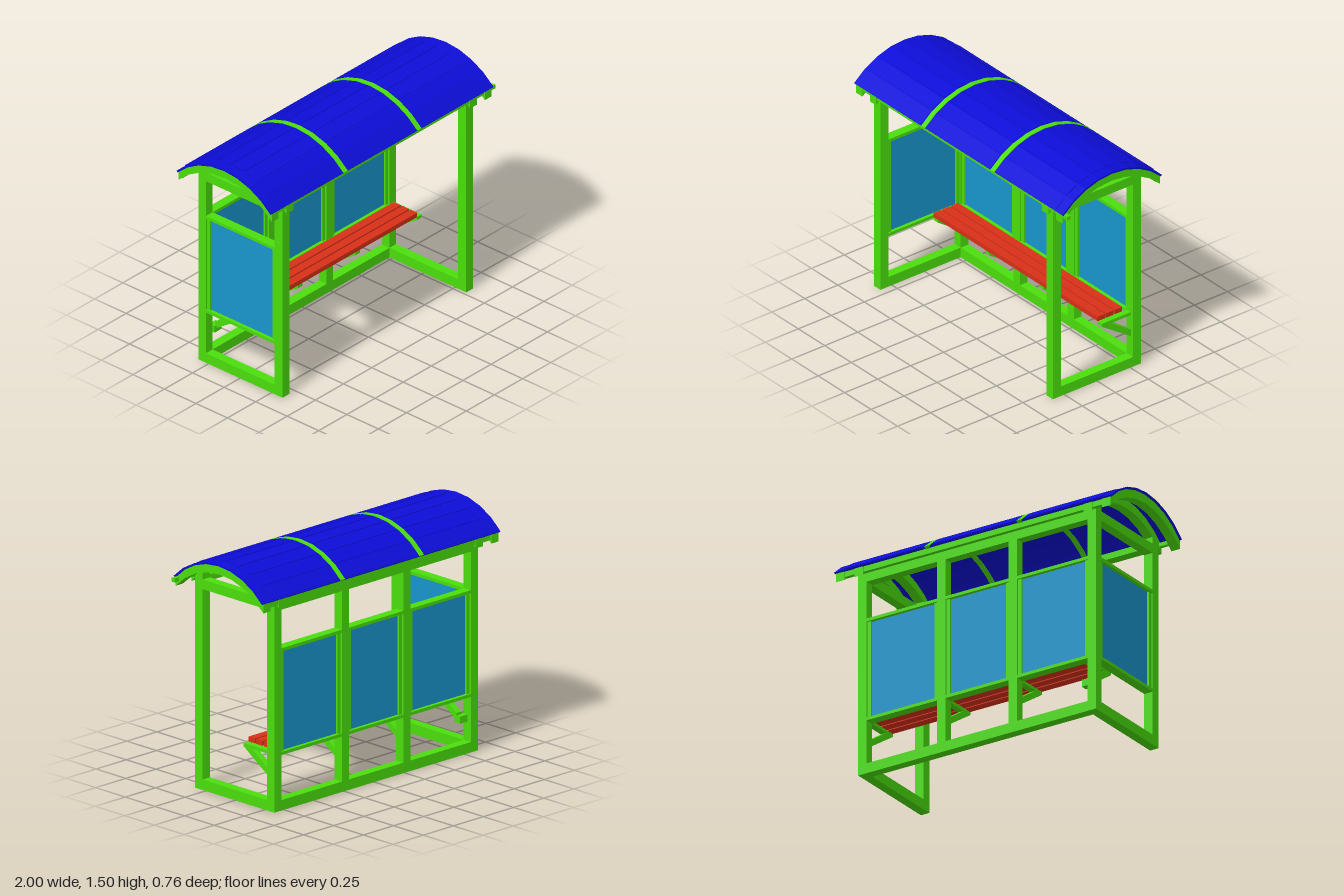
import * as THREE from 'three';

const mat = (color) => new THREE.MeshStandardMaterial({ color, flatShading: true });

export function createModel() {
  const model = new THREE.Group();
  const green = mat(0x4ade0c), blue = mat(0x0d0dd8), red = mat(0xd83018), glass = mat(0x1895cc);

  const add = (name, geometry, material) => {
    const mesh = new THREE.Mesh(geometry, material);
    mesh.name = name;
    model.add(mesh);
    return mesh;
  };
  // box given by its limits on each axis
  const box = (name, material, x0, x1, y0, y1, z0, z1) => {
    const mesh = add(name, new THREE.BoxGeometry(x1 - x0, y1 - y0, z1 - z0), material);
    mesh.position.set((x0 + x1) / 2, (y0 + y1) / 2, (z0 + z1) / 2);
    return mesh;
  };
  // side profile of [z, y] points, extruded from x0 to x1
  const profile = (name, material, points, x0, x1) => {
    const shape = new THREE.Shape(points.map(([z, y]) => new THREE.Vector2(-z, y)));
    const geometry = new THREE.ExtrudeGeometry(shape, { depth: x1 - x0, bevelEnabled: false });
    geometry.rotateY(Math.PI / 2);
    geometry.translate(x0, 0, 0);
    return add(name, geometry, material);
  };

  const L = -0.86, R = 0.83, W = 0.06;
  const back = -0.33, backIn = -0.27, front = 0.338, frontIn = 0.275;

  // corner posts
  for (const x of [L, R - W]) {
    box('frontPost', green, x, x + W, 0, 1.36, frontIn, front);
    box('backPost', green, x, x + W, 0, 1.36, back, backIn);
    box('sideBottomRail', green, x, x + W, 0, 0.065, backIn, frontIn);
    box('sideTopRail', green, x, x + W, 1.25, 1.31, backIn, frontIn);
  }

  // back wall rails and middle posts
  box('backBottomRail', green, L + W, R - W, 0, 0.065, back, backIn);
  box('backTopRail', green, L + W, R - W, 1.25, 1.33, back, backIn);
  box('frontTopRail', green, L + W, R - W, 1.29, 1.33, frontIn, front);
  const middles = [-0.30, 0.21];
  for (const x of middles) box('middlePost', green, x, x + W, 0.065, 1.25, back, backIn);

  // framed glass panels of the back wall
  const bays = [[L + W, -0.30], [-0.24, 0.21], [0.27, R - W]];
  for (const [x0, x1] of bays) {
    for (const y of [0.345, 0.99]) box('panelRail', green, x0, x1, y, y + 0.02, back, backIn);
    for (const x of [x0, x1 - 0.025]) box('panelStile', green, x, x + 0.025, 0.365, 0.99, -0.32, -0.28);
    box('backGlass', glass, x0 + 0.025, x1 - 0.025, 0.365, 0.99, -0.308, -0.292);
  }

  // framed glass panel closing one end
  for (const y of [0.345, 0.99]) box('endPanelRail', green, L, L + W, y, y + 0.02, backIn, frontIn);
  for (const z of [backIn, frontIn - 0.025]) box('endPanelStile', green, L + 0.01, L + 0.05, 0.365, 0.99, z, z + 0.025);
  box('endGlass', glass, L + 0.022, L + 0.038, 0.365, 0.99, backIn + 0.025, frontIn - 0.025);

  // bench slats on triangular brackets
  for (const z of [-0.235, -0.17, -0.105]) box('benchSlat', red, -0.78, 0.77, 0.365, 0.395, z, z + 0.055);
  for (const x of [-0.76, -0.27, 0.24, 0.79]) {
    box('bracketArm', green, x - 0.02, x + 0.02, 0.345, 0.365, backIn, -0.05);
    profile('bracketBrace', green,
      [[-0.05, 0.345], [-0.12, 0.345], [backIn, 0.245], [backIn, 0.2]], x - 0.02, x + 0.02);
  }
  box('bracketFoot', green, -0.80, -0.74, 0.185, 0.23, -0.3, -0.255);

  // roof arc in eight straight facets
  const N = 8, radius = 0.531, half = 0.798, centreY = 1.505 - radius;
  const arcPoint = (i, r) => {
    const a = -half + (2 * half * i) / N;
    return [r * Math.sin(a), centreY + r * Math.cos(a)];
  };
  const arc = (r) => Array.from({ length: N + 1 }, (_, i) => arcPoint(i, r));
  const band = (outer, inner) => [...arc(outer), ...arc(inner).reverse()];

  // sheets between the cover strips, each facet with a raised plate
  const sheets = [[-1, -0.362, -0.93, -0.37], [-0.328, 0.293, -0.32, 0.285], [0.327, 0.97, 0.335, 0.9]];
  for (const [x0, x1, p0, p1] of sheets) {
    profile('roofSheet', blue, band(radius - 0.004, radius - 0.016), x0, x1);
    for (let i = 0; i < N; i++) {
      const corner = (t, r) => {
        const a = arcPoint(i, r), b = arcPoint(i + 1, r);
        return [a[0] + (b[0] - a[0]) * t, a[1] + (b[1] - a[1]) * t];
      };
      profile('roofPlate', blue, [corner(0.1, radius), corner(0.9, radius),
        corner(0.9, radius - 0.008), corner(0.1, radius - 0.008)], p0, p1);
    }
  }
  for (const x of [-0.345, 0.31]) profile('roofStrip', green, band(radius, radius - 0.02), x - 0.0175, x + 0.0175);

  // deep curved ribs over the posts and at the overhangs
  const ribTop = arc(radius - 0.014);
  const ribShape = [...ribTop, ...ribTop.map(([z, y]) => [z, y - 0.056]).reverse()];
  for (const x of [-0.99, L, R - W, 0.9]) profile('roofRib', green, ribShape, x, x + W);

  // bars along the eaves
  box('frontEaveBar', green, -0.99, 1, 1.315, 1.34, 0.34, 0.365);
  box('backEaveBar', green, -0.99, 0.96, 1.3, 1.34, -0.365, -0.34);

  return model;
}
